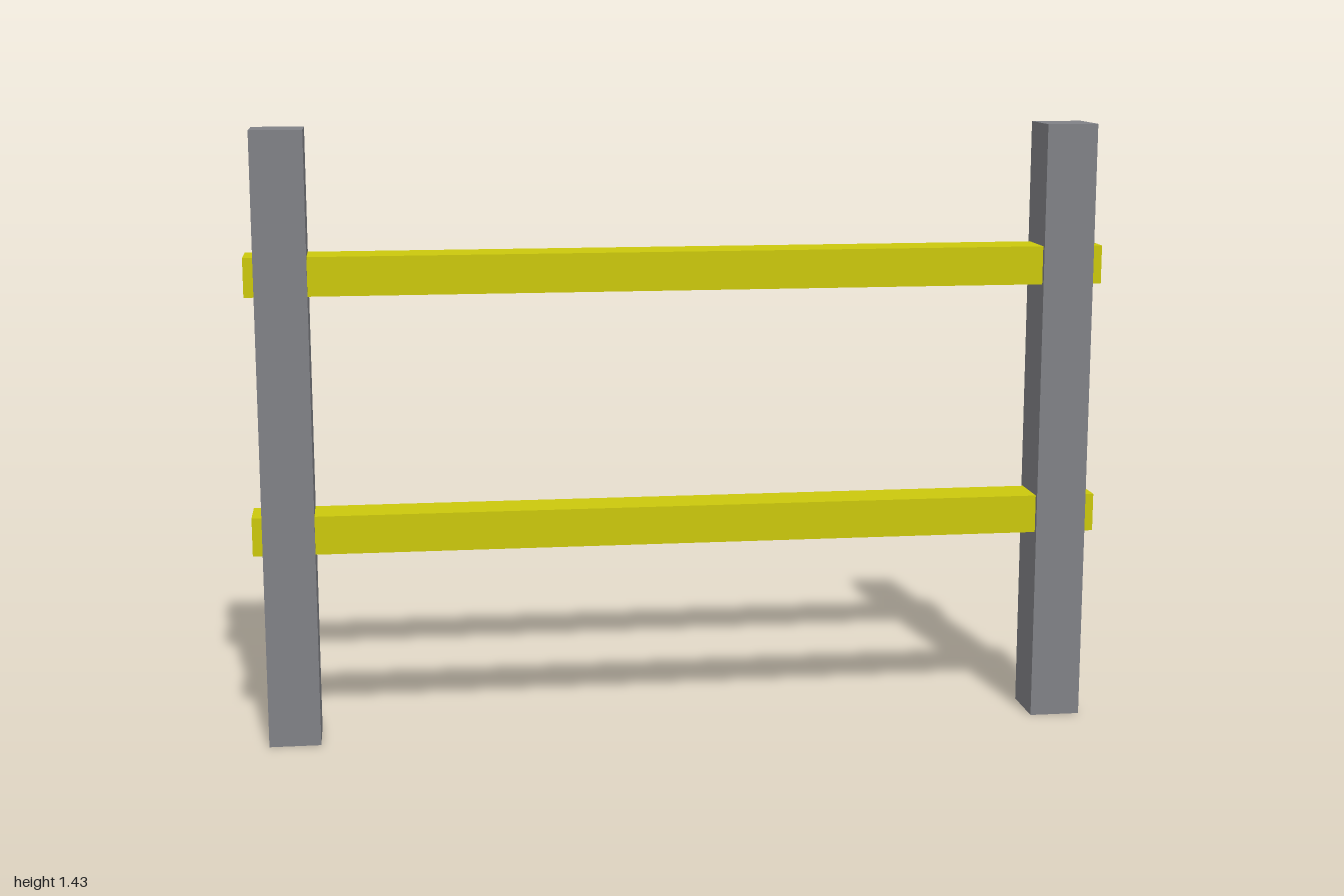
import * as THREE from 'three';

export function createModel() {
  const group = new THREE.Group();
  const grey = new THREE.MeshStandardMaterial({ color: 0x808186 });
  grey.name = 'postGrey';
  const yellow = new THREE.MeshStandardMaterial({ color: 0xcbc80c });
  yellow.name = 'railYellow';

  const addBox = (name, size, position, material) => {
    const mesh = new THREE.Mesh(new THREE.BoxGeometry(...size), material);
    mesh.name = name;
    mesh.position.set(...position);
    group.add(mesh);
  };

  // Upright posts
  const postHeight = 1.434;
  for (const [name, side] of [['leftPost', 1], ['rightPost', -1]]) {
    addBox(name, [0.12, postHeight, 0.135], [side * 0.917, postHeight / 2, 0], grey);
  }

  // Horizontal rails passing through both posts
  for (const [name, y] of [['lowerRail', 0.502], ['upperRail', 1.103]]) {
    addBox(name, [2, 0.09, 0.112], [0, y, 0], yellow);
  }

  return group;
}
